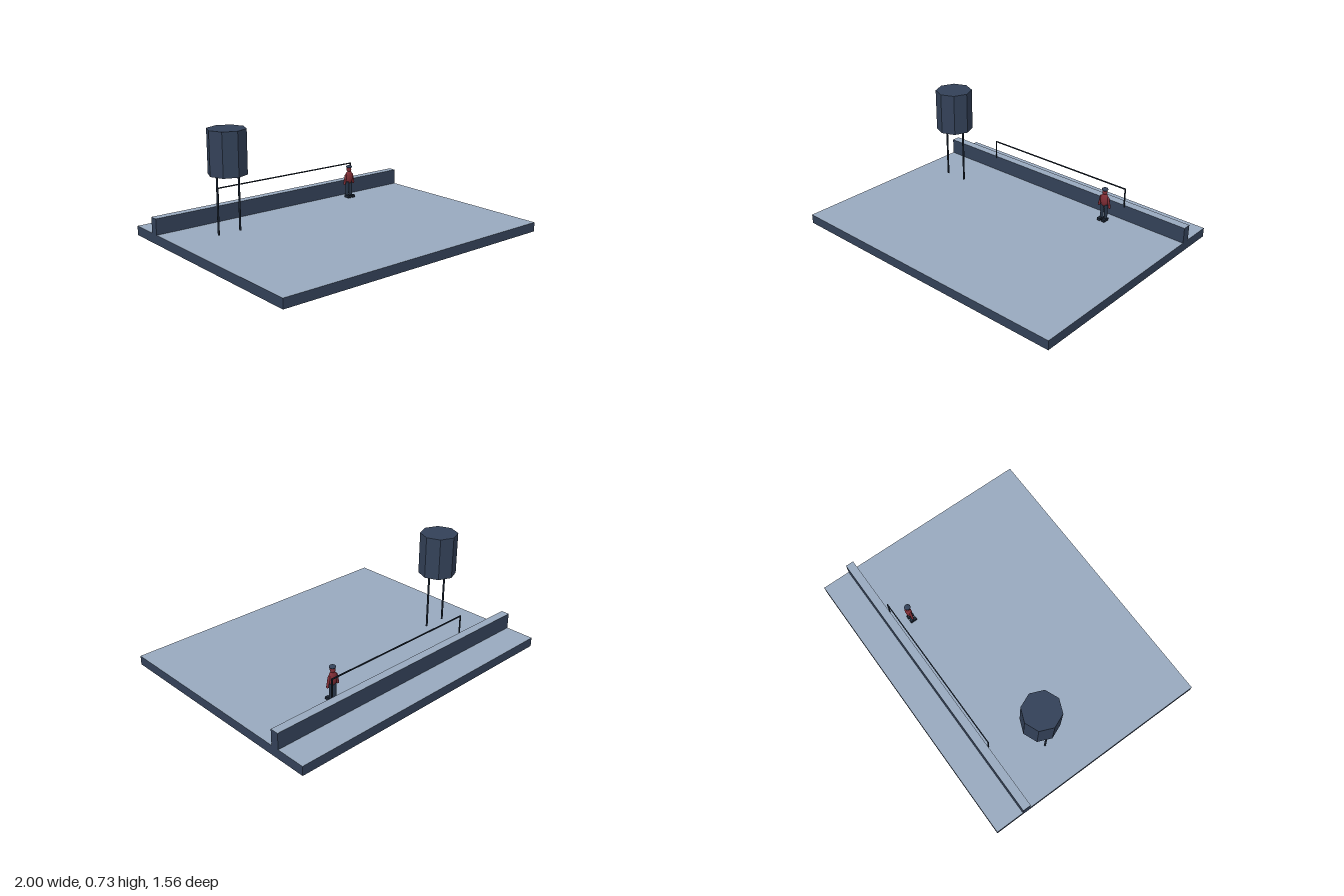
import * as THREE from 'three';

const mat = (name, color) => {
  const m = new THREE.MeshStandardMaterial({ color });
  m.name = name;
  return m;
};

export function createModel() {
  const model = new THREE.Group();
  model.name = 'yard';
  const slate = mat('slate blue', 0x334158);
  const pale = mat('pale blue grey', 0x98a9be);
  const dark = mat('dark iron', 0x1b2533);
  const trouser = mat('trouser blue', 0x263345);
  const red = mat('deep red', 0x7f2d35);

  const add = (parent, name, geometry, material, x, y, z) => {
    const mesh = new THREE.Mesh(geometry, material);
    mesh.name = name;
    mesh.position.set(x, y, z);
    parent.add(mesh);
    return mesh;
  };
  const box = (w, h, d) => new THREE.BoxGeometry(w, h, d);

  // Slabs with a pale upper face (third pair of groups order: +x -x +y -y +z -z)
  const topped = [slate, slate, pale, slate, slate, slate];
  add(model, 'ground', box(2, 0.061, 1.56), topped, 0, 0.0305, 0);
  add(model, 'platformWall', box(2, 0.105, 0.056), topped, 0, 0.1135, -0.556);

  // Water tank: eight sides with corners on the axes, on two posts
  const tank = new THREE.Group();
  tank.name = 'waterTank';
  tank.position.set(-0.667, 0, -0.223);
  model.add(tank);
  const drum = new THREE.CylinderGeometry(0.122, 0.122, 0.278, 8).toNonIndexed();
  drum.computeVertexNormals();
  add(tank, 'drum', drum, slate, 0, 0.593, 0);
  for (const s of [-1, 1]) {
    add(tank, 'post', new THREE.CylinderGeometry(0.0065, 0.0065, 0.37, 8), dark, s * 0.077, 0.27, 0);
  }

  // Thin rail frame in front of the wall
  const rail = new THREE.Group();
  rail.name = 'railFrame';
  rail.position.z = -0.525;
  model.add(rail);
  add(rail, 'topRail', box(1.118, 0.007, 0.007), dark, 0, 0.284, 0);
  for (const s of [-1, 1]) add(rail, 'railPost', box(0.007, 0.13, 0.007), dark, s * 0.5555, 0.2195, 0);

  // Standing figure
  const man = new THREE.Group();
  man.name = 'figure';
  man.position.set(0.465, 0, -0.433);
  model.add(man);
  const ball = new THREE.SphereGeometry(1, 14, 10);
  add(man, 'torso', ball, red, 0, 0.213, 0).scale.set(0.031, 0.047, 0.021);
  add(man, 'head', ball, red, 0, 0.27, 0).scale.set(0.017, 0.021, 0.017);
  add(man, 'cap', ball, slate, 0, 0.288, 0.001).scale.set(0.021, 0.011, 0.021);
  for (const s of [-1, 1]) {
    add(man, 'leg', new THREE.CylinderGeometry(0.012, 0.011, 0.1, 10), trouser, s * 0.015, 0.133, 0);
    add(man, 'shoe', box(0.023, 0.017, 0.046), dark, s * 0.017, 0.0775, 0.01);
    const arm = add(man, 'arm', new THREE.CapsuleGeometry(0.008, 0.062, 4, 10), red, s * 0.034, 0.2, 0);
    arm.rotation.z = s * 0.2;
  }
  return model;
}
